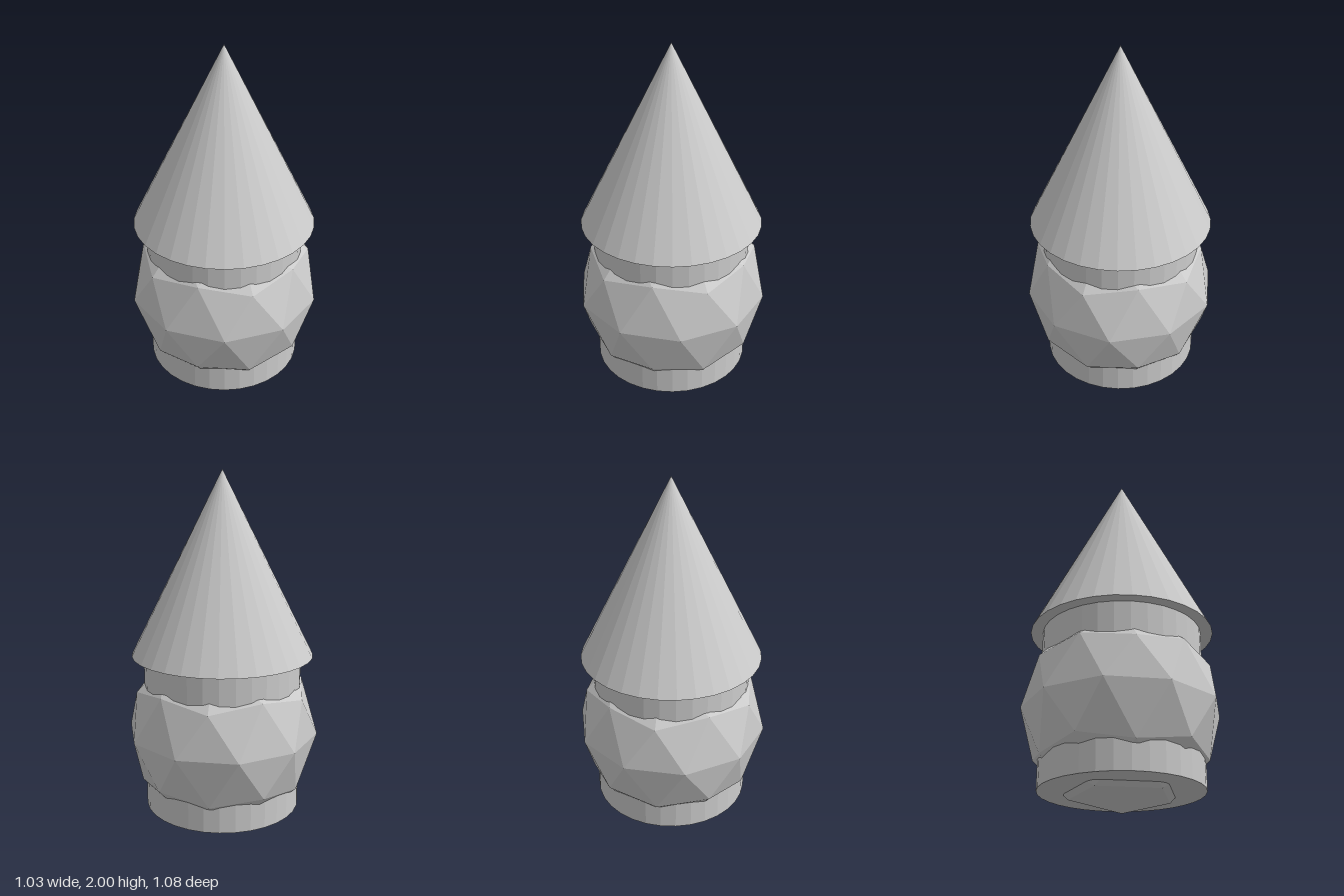
import * as THREE from 'three';

export function createModel() {
  const group = new THREE.Group();
  const material = new THREE.MeshStandardMaterial({ color: 0xcccccc, flatShading: true });
  const add = (name, geometry, y) => {
    const mesh = new THREE.Mesh(geometry, material);
    mesh.name = name;
    mesh.position.y = y;
    group.add(mesh);
  };

  // Faceted ball, turned so that one corner points straight down
  const ball = new THREE.IcosahedronGeometry(0.542, 1);
  ball.rotateZ(-Math.atan(2 / (1 + Math.sqrt(5))));
  add('facetedBelly', ball, 0.542);

  // Straight drum running through the ball
  const bottom = 0.105, brim = 0.99;
  add('drumBody', new THREE.CylinderGeometry(0.44, 0.44, brim - bottom, 32), (bottom + brim) / 2);

  // Pointed hat with a closed underside
  add('coneHat', new THREE.ConeGeometry(0.507, 2 - brim, 32), (2 + brim) / 2);

  return group;
}
